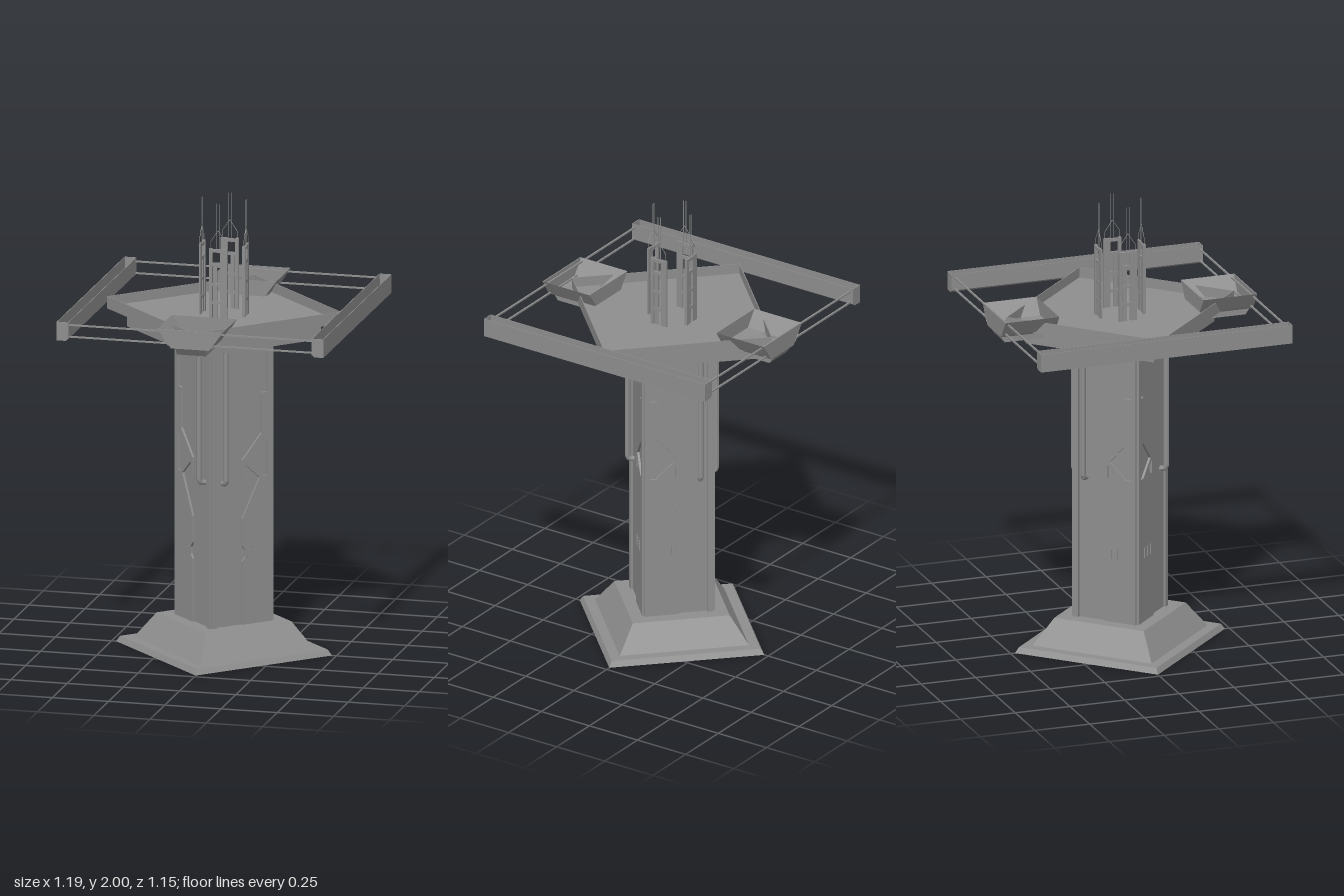
import * as THREE from 'three';

const metal = new THREE.MeshStandardMaterial({ color: 0x8e8e8e, flatShading: true, side: THREE.DoubleSide });
metal.name = 'grey metal';

function add(parent, name, geometry, x = 0, y = 0, z = 0) {
  const mesh = new THREE.Mesh(geometry, metal);
  mesh.name = name;
  mesh.position.set(x, y, z);
  parent.add(mesh);
  return mesh;
}
const box = (w, h, d) => new THREE.BoxGeometry(w, h, d);

// Four-sided turned form, corners on the x and z axes
const square = (pts) => new THREE.LatheGeometry(pts.map(p => new THREE.Vector2(...p)), 4);

// Flat outline pushed along +z
const plate = (pts, depth) => new THREE.ExtrudeGeometry(
  new THREE.Shape(pts.map(p => new THREE.Vector2(...p))), { depth, bevelEnabled: false });

// Thin straight bar between two points
function bar(parent, name, a, b, t) {
  const p = new THREE.Vector3(...a), q = new THREE.Vector3(...b);
  const mesh = add(parent, name, box(t, p.distanceTo(q), t));
  mesh.position.copy(p).add(q).multiplyScalar(0.5);
  mesh.quaternion.setFromUnitVectors(new THREE.Vector3(0, 1, 0), q.sub(p).normalize());
}

// One face of the column: corner strips, raised panels and a pipe
function columnFace(m) {
  const face = new THREE.Group();
  face.name = 'columnFace';
  const n = 0.148;
  for (const s of [-1, 1]) add(face, 'cornerStrip', box(0.024, 1.26, 0.022), s * 0.136, 0.77, n);
  const raised = (name, pts) => add(face, name, plate(pts.map(([s, y]) => [m * s, y]), 0.011), 0, 0, n - 0.001);
  raised('lowerPanel', [[0.124, 0.14], [0, 0.14], [0, 0.42], [0.014, 0.44], [0.014, 0.47],
    [0, 0.49], [0, 0.61], [0.09, 0.79], [0.124, 0.79]]);
  raised('upperPanel', [[0.124, 1.16], [0.095, 1.16], [0.095, 0.98], [0, 0.87], [0, 0.79],
    [0.014, 0.79], [0.014, 0.85], [0.1, 0.95], [0.124, 0.95]]);
  raised('diagonalRib', [[0.014, 0.85], [0.1, 0.77], [0.1, 0.79], [0.014, 0.875]]);
  for (const s of [0.03, 0.06, 0.09]) add(face, 'vent', box(0.008, 0.045, 0.008), m * s, 0.45, n + 0.01);
  const path = new THREE.CurvePath();
  const v = (y, z) => new THREE.Vector3(-m * 0.092, y, z);
  path.add(new THREE.LineCurve3(v(1.4, 0.177), v(0.8, 0.177)));
  path.add(new THREE.QuadraticBezierCurve3(v(0.8, 0.177), v(0.778, 0.177), v(0.778, 0.155)));
  path.add(new THREE.LineCurve3(v(0.778, 0.155), v(0.778, 0.13)));
  add(face, 'pipe', new THREE.TubeGeometry(path, 60, 0.012, 8));
  return face;
}

// Slotted mast with wire tip and aerial
function mast() {
  const g = new THREE.Group();
  g.name = 'mast';
  add(g, 'mastPost', box(0.014, 0.32, 0.014), -0.033, 1.64, 0);
  add(g, 'mastPanel', box(0.03, 0.32, 0.007), 0.025, 1.64, 0);
  add(g, 'mastCore', box(0.018, 0.25, 0.005), -0.013, 1.605, 0);
  for (const y of [1.56, 1.64, 1.73, 1.79]) add(g, 'mastRung', box(0.066, 0.014, 0.009), 0, y, 0);
  const tip = [[-0.034, 1.8, 0], [-0.034, 1.83, 0], [0, 1.88, 0], [0.034, 1.83, 0], [0.034, 1.8, 0]];
  for (let i = 0; i < 4; i++) bar(g, 'tipWire', tip[i], tip[i + 1], 0.002);
  for (const x of [-0.006, 0.007]) add(g, 'aerial', box(0.002, 0.22, 0.002), x, 1.89, 0);
  return g;
}

// Trough bracket around one platform corner
function bracket() {
  const g = new THREE.Group();
  g.name = 'bracket';
  const trough = [[-0.145, 1.555], [-0.1, 1.484], [0.1, 1.484], [0.145, 1.555], [0.085, 1.472], [-0.085, 1.472]];
  add(g, 'trough', plate(trough, 0.245), 0, 0, 0.33);
  for (const x of [-0.078, 0.078]) add(g, 'troughRib', box(0.006, 0.008, 0.15), x, 1.487, 0.495);
  add(g, 'endPlate', plate([[-0.145, 1.555], [-0.085, 1.472], [0.085, 1.472], [0.145, 1.555]], 0.004), 0, 0, 0.571);
  // Keel with a sloping nose
  const keel = plate([[0.37, 1.44], [0.55, 1.44], [0.575, 1.474], [0.37, 1.474]], 0.13);
  keel.rotateY(-Math.PI / 2);
  add(g, 'keel', keel, 0.065, 0, 0);
  return g;
}

// Open-topped channel with closed ends
function sideBeam(s) {
  const g = new THREE.Group();
  g.name = 'sideBeam';
  const mirror = (pts) => pts.map(([x, y]) => [s * x, y]);
  const outer = [[0.593, 1.556], [0.593, 1.474], [0.553, 1.474], [0.54, 1.484], [0.54, 1.556]];
  const inner = [[0.543, 1.556], [0.543, 1.486], [0.554, 1.478], [0.59, 1.478], [0.59, 1.556]];
  add(g, 'channel', plate(mirror([...outer, ...inner]), 1.15), 0, 0, -0.575);
  for (const z of [-0.575, 0.571]) add(g, 'endCap', plate(mirror(outer), 0.004), 0, 0, z);
  return g;
}

export function createModel() {
  const model = new THREE.Group();
  model.name = 'tower';

  // Hollow foot and shaft
  add(model, 'foot', square([[0.48, 0], [0.462, 0.025], [0.4, 0.025], [0.3, 0.14], [0, 0.14]]));
  add(model, 'shaft', square([[0.209, 0.14], [0.209, 1.4]]));
  for (let k = 0; k < 4; k++) {
    const face = columnFace(k % 2 ? -1 : 1);
    face.rotation.y = Math.PI / 4 + k * Math.PI / 2;
    model.add(face);
  }

  // Stepped platform with a low rim around its floor
  add(model, 'platform', square([[0, 1.39], [0.365, 1.39], [0.375, 1.402], [0.432, 1.402], [0.432, 1.476],
    [0.52, 1.476], [0.52, 1.53], [0.515, 1.53], [0.515, 1.486], [0, 1.486]]));

  // Masts around the centre
  for (let k = 0; k < 4; k++) {
    const pivot = new THREE.Group();
    pivot.name = 'mastMount';
    pivot.rotation.y = k * Math.PI / 2;
    const m = mast();
    m.position.z = 0.098;
    pivot.add(m);
    model.add(pivot);
  }

  // End brackets, side beams and the rods joining them
  for (const s of [1, -1]) {
    const b = bracket();
    if (s < 0) b.rotation.y = Math.PI;
    model.add(b);
    model.add(sideBeam(s));
    for (const y of [1.542, 1.49]) add(model, 'rod', box(1.09, 0.007, 0.007), 0, y, s * 0.56);
  }
  return model;
}
